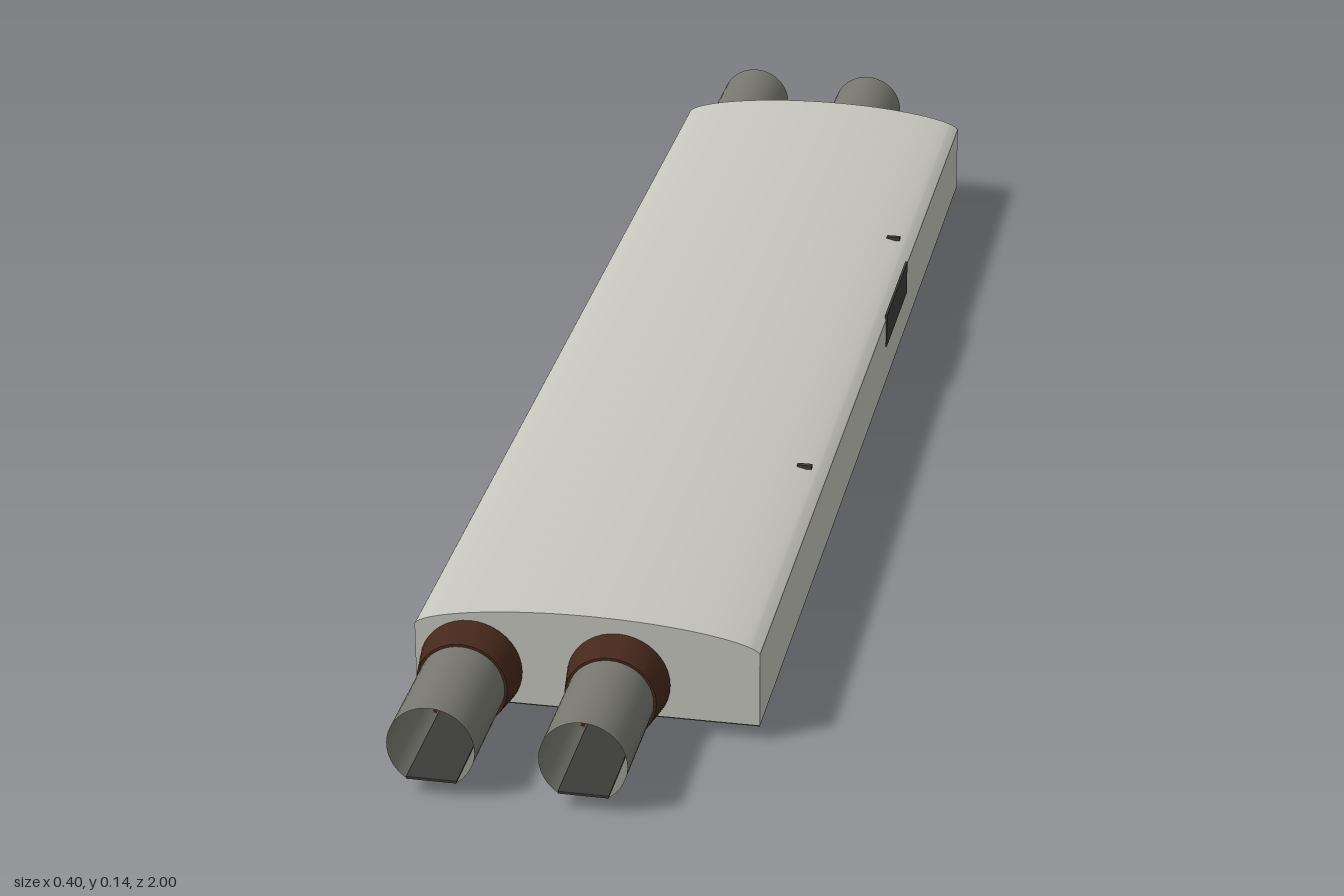
import * as THREE from 'three';
import { toCreasedNormals } from 'three/addons/utils/BufferGeometryUtils.js';

const mat = (name, color, side = THREE.FrontSide) => {
  const m = new THREE.MeshStandardMaterial({ color, side });
  m.name = name;
  return m;
};

export function createModel() {
  const model = new THREE.Group();
  const shell = mat('pale grey shell', 0xc6c6be);
  const metal = mat('duct grey', 0x77776f, THREE.DoubleSide);
  const dark = mat('charcoal', 0x3c3c3a);
  const brown = mat('brown seal', 0x46281c);

  const add = (name, geo, material, x = 0, y = 0, z = 0) => {
    const m = new THREE.Mesh(geo, material);
    m.name = name;
    m.position.set(x, y, z);
    model.add(m);
    return m;
  };
  const box = (name, w, h, d, material, x, y, z) =>
    add(name, new THREE.BoxGeometry(w, h, d), material, x, y, z);

  const ductX = [-0.135, 0.037], ductY = 0.061, R = 0.05;
  const cut = Math.acos((ductY - 0.02) / R); // angle where the flat floor cuts the duct
  const half = 0.812;

  // Shell: crowned slab with two flat-floored ducts running through it
  const outline = new THREE.Shape();
  outline.moveTo(-0.2, 0.02);
  outline.lineTo(0.2, 0.02);
  outline.lineTo(0.2, 0.111);
  outline.bezierCurveTo(0.194, 0.124, 0.11, 0.14, 0, 0.14);
  outline.bezierCurveTo(-0.11, 0.14, -0.194, 0.124, -0.2, 0.111);
  outline.closePath();
  const holeCut = Math.acos((ductY - 0.021) / R);
  for (const x of ductX) {
    const hole = new THREE.Path();
    hole.absarc(x, ductY, R, -Math.PI / 2 + holeCut, Math.PI * 1.5 - holeCut, false);
    hole.closePath();
    outline.holes.push(hole);
  }
  const body = new THREE.ExtrudeGeometry(outline, { depth: half * 2, bevelEnabled: false, curveSegments: 24 });
  body.translate(0, 0, -half);
  add('shell', toCreasedNormals(body, 0.5), shell);

  // Underside plate
  box('basePlate', 0.4, 0.0015, half * 2, dark, 0, 0.0193, 0);

  // Open duct stub with its underside cut flat
  const stub = (length) => new THREE.CylinderGeometry(R, R, length, 40, 1, true, cut, Math.PI * 2 - cut * 2)
    .rotateX(Math.PI / 2);

  // Tapered ring seal
  const seal = new THREE.LatheGeometry(
    [[R, 0], [0.06, 0], [0.053, 0.045], [R, 0.045], [R, 0]].map(([x, y]) => new THREE.Vector2(x, y)), 40);
  const sealGeo = toCreasedNormals(seal.rotateX(Math.PI / 2), 0.5);
  const sealMaterial = brown;
  sealMaterial.side = THREE.DoubleSide;

  for (const x of ductX) {
    add('frontDuct', stub(1 - half), metal, x, ductY, (1 + half) / 2);
    add('frontSeal', sealGeo, sealMaterial, x, ductY, half);
    add('rearDuct', stub(0.144), metal, x, ductY, -0.928);
    add('rearFlange', new THREE.RingGeometry(R, 0.058, 40, 1, -Math.PI / 2 + 0.8, Math.PI * 2 - 1.6),
      metal, x, ductY, -half - 0.001);
    box('ductFloor', 2 * R * Math.sin(cut), 0.003, 2, dark, x, 0.0205, 0);
    // Small guide block inside the duct
    box('ductGuide', 0.014, 0.024, 0.1, dark, x + 0.047, 0.033, 0);
  }

  // Side panel and the two top catches
  box('sidePanel', 0.003, 0.046, 0.18, dark, 0.2, 0.095, -0.21);
  for (const z of [-0.36, 0.36]) box('topCatch', 0.018, 0.005, 0.006, dark, 0.173, 0.1255, z);

  return model;
}
